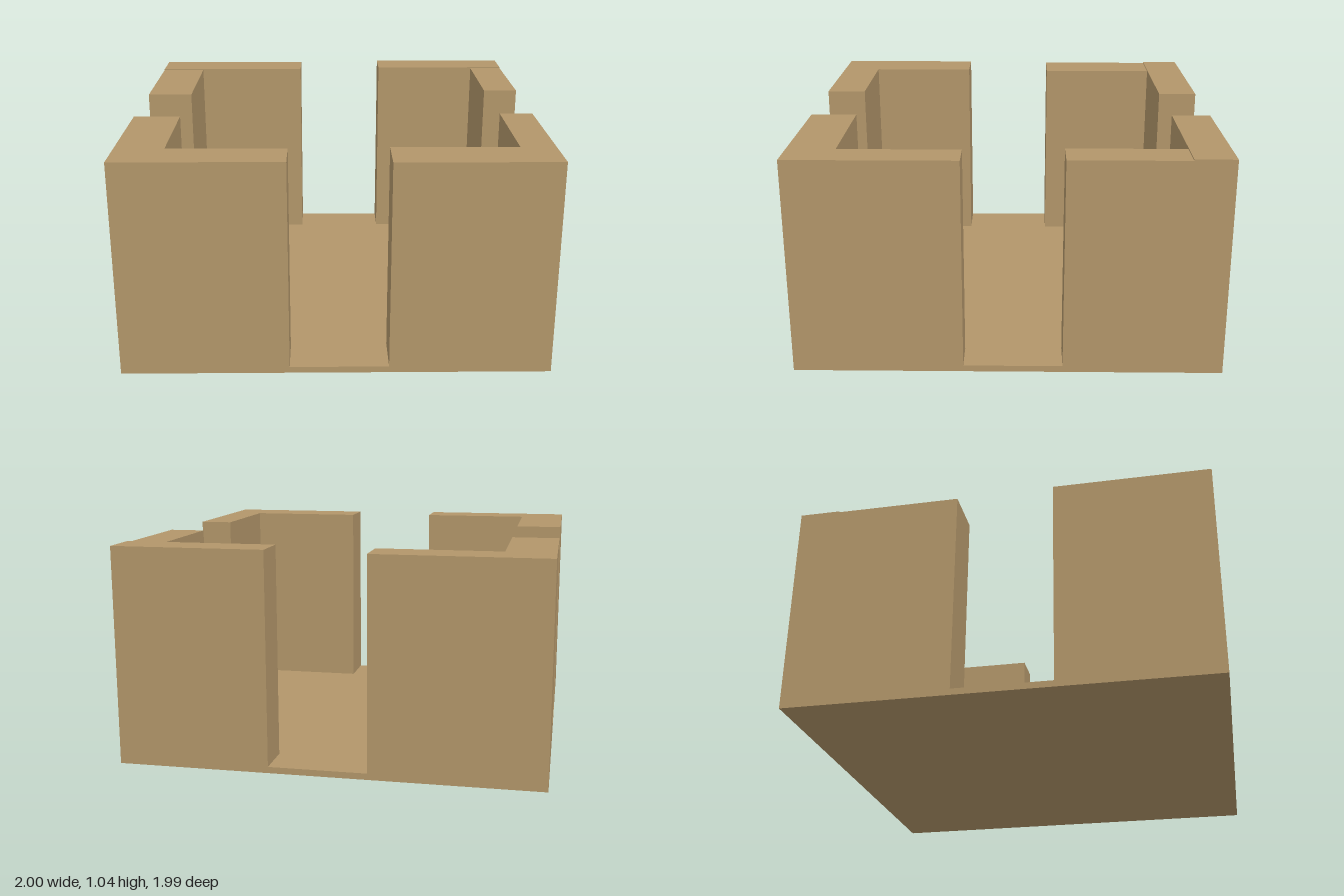
import * as THREE from 'three';

const HALF_X = 1, HALF_Z = 0.995, FLOOR = 0.03;

export function createModel() {
  const group = new THREE.Group();
  const sand = new THREE.MeshStandardMaterial({ color: 0xb2966a });
  sand.name = 'sandstone';

  // Box given by its extents on each axis
  function block(name, xa, xb, y0, y1, za, zb) {
    const geo = new THREE.BoxGeometry(Math.abs(xb - xa), y1 - y0, Math.abs(zb - za));
    geo.translate((xa + xb) / 2, (y0 + y1) / 2, (za + zb) / 2);
    const mesh = new THREE.Mesh(geo, sand);
    mesh.name = name;
    return mesh;
  }

  group.add(block('floorSlab', -HALF_X, HALF_X, 0, FLOOR, -HALF_Z, HALF_Z));

  // L-shaped corners. endX, innerZ: tip and inside face of the front/back wall;
  // innerX, endZ: inside face and tip of the side wall; then the two heights.
  const corners = [
    { name: 'backRightCorner', endX: -0.19, innerZ: -0.8, innerX: -0.77, endZ: -0.205, wallTop: 1.03, sideTop: 1.025 },
    { name: 'backLeftCorner', endX: 0.275, innerZ: -0.805, innerX: 0.825, endZ: -0.255, wallTop: 1.036, sideTop: 1.03 },
    { name: 'frontRightCorner', endX: -0.217, innerZ: 0.797, innerX: -0.77, endZ: 0.257, wallTop: 1.031, sideTop: 1.031 },
    { name: 'frontLeftCorner', endX: 0.245, innerZ: 0.77, innerX: 0.835, endZ: 0.205, wallTop: 1.026, sideTop: 1.026 },
  ];
  for (const c of corners) {
    const x = Math.sign(c.endX) * HALF_X, z = Math.sign(c.endZ) * HALF_Z;
    const corner = new THREE.Group();
    corner.name = c.name;
    corner.add(
      block('endWall', c.endX, x, FLOOR, c.wallTop, c.innerZ, z),
      block('sideWall', c.innerX, x, FLOOR, c.sideTop, c.endZ, c.innerZ),
    );
    group.add(corner);
  }
  return group;
}
